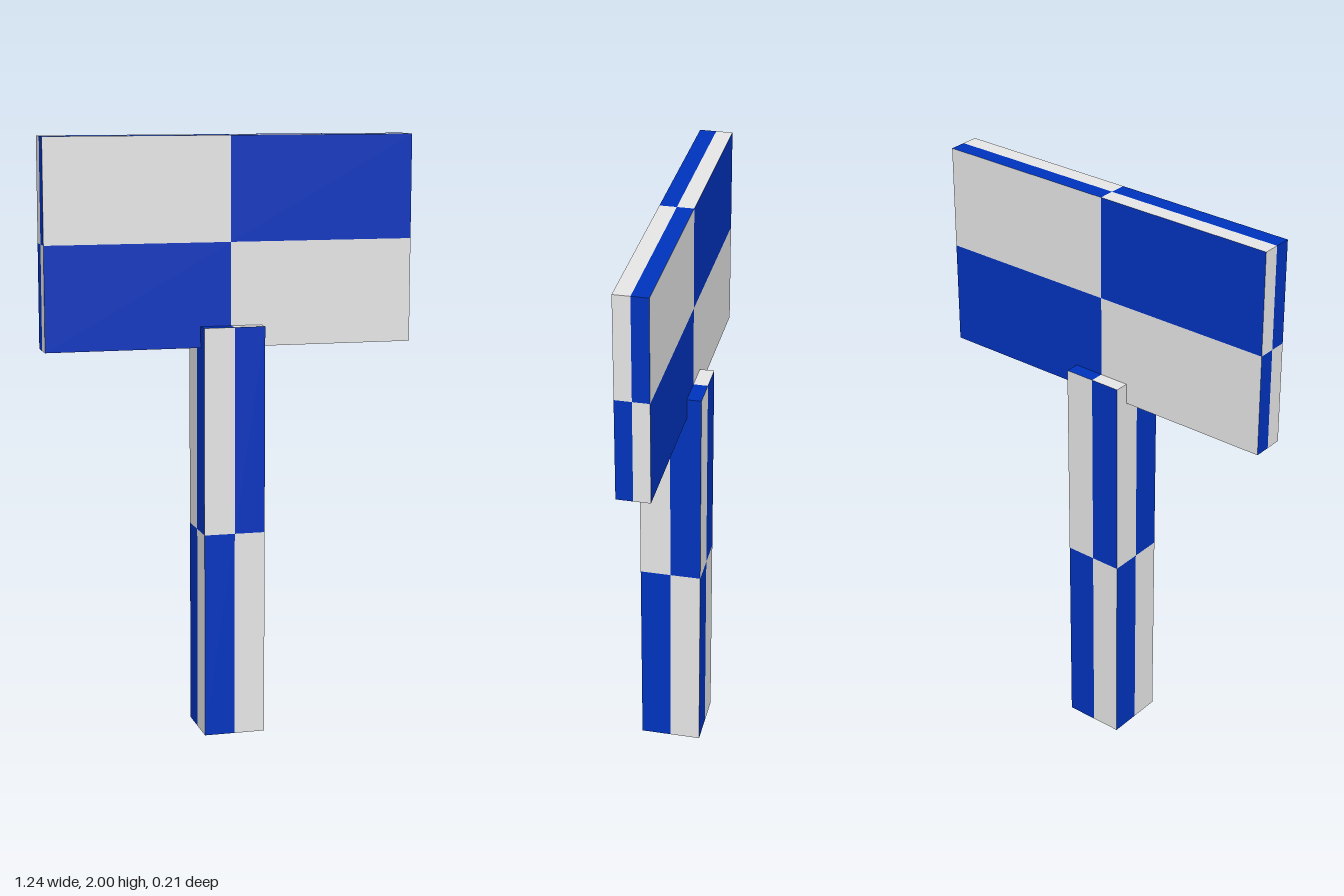
import * as THREE from 'three';

const lightGrey = new THREE.MeshStandardMaterial({ name: 'lightGrey', color: 0xe6e6e6 });
const deepBlue = new THREE.MeshStandardMaterial({ name: 'deepBlue', color: 0x0033be });

// Box whose six faces each carry a 2 x 2 check: grey upper left and lower right
function checkedBox(name, width, height, depth, bottom) {
  const geometry = new THREE.BoxGeometry(width, height, depth, 2, 2, 2);
  geometry.clearGroups();
  for (let cell = 0; cell < 24; cell++) {
    const corner = cell % 4;
    geometry.addGroup(cell * 6, 6, corner === 0 || corner === 3 ? 0 : 1);
  }
  const mesh = new THREE.Mesh(geometry, [lightGrey, deepBlue]);
  mesh.name = name;
  mesh.position.y = bottom + height / 2;
  return mesh;
}

export function createModel() {
  const model = new THREE.Group();
  model.name = 'signpost';
  // Square post, slightly overlapping the lower edge of the board
  model.add(checkedBox('post', 0.206, 1.38, 0.206, 0));
  // Wide, thin sign board
  model.add(checkedBox('board', 1.238, 0.69, 0.11, 1.31));
  return model;
}
